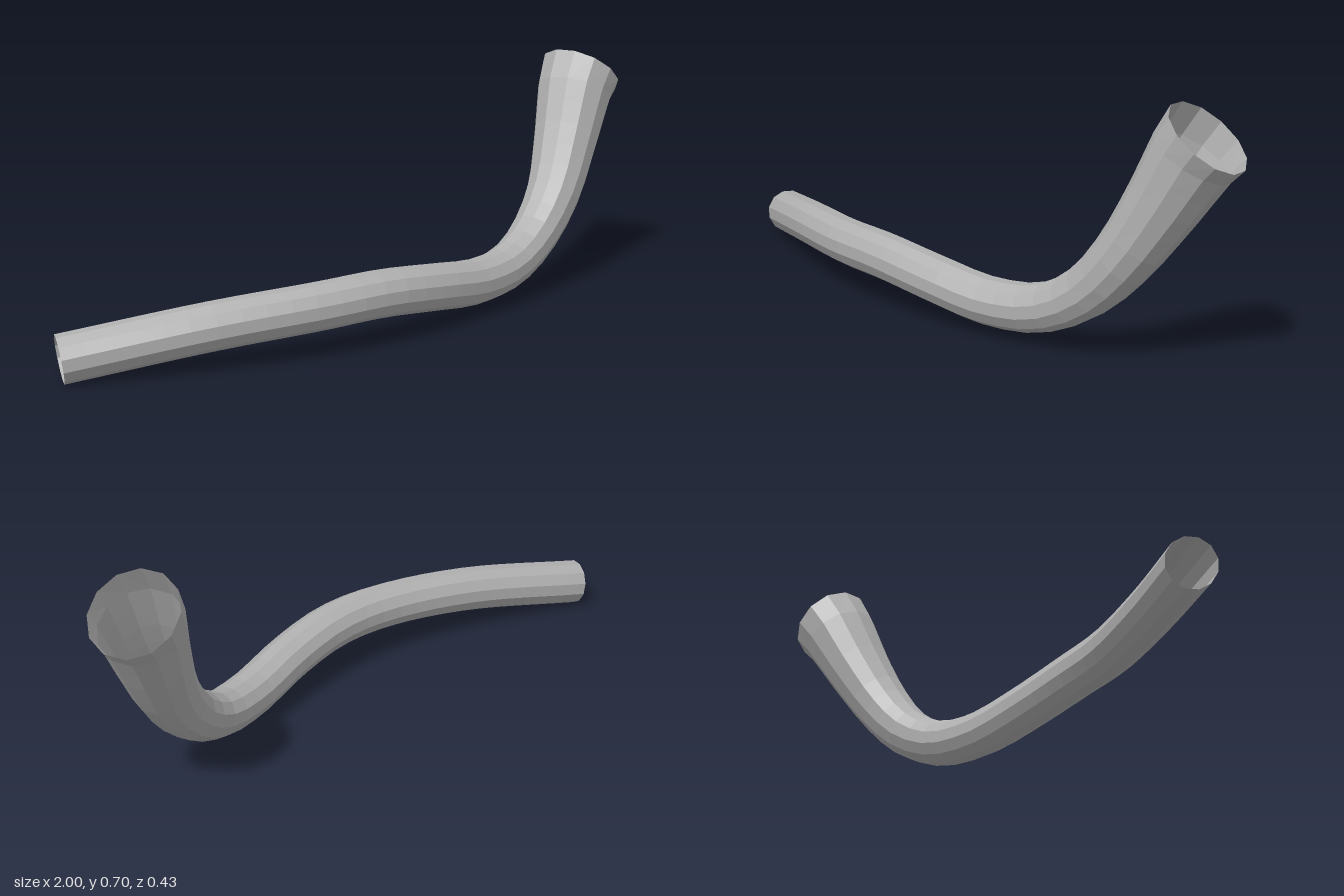
import * as THREE from 'three';

export function createModel() {
  const grey = new THREE.MeshStandardMaterial({ color: 0xb0b0b0, flatShading: true, side: THREE.DoubleSide });
  grey.name = 'grey';

  // centre line from the narrow end to the flared mouth
  const path = new THREE.CatmullRomCurve3([
    [-0.975, 0.07, -0.115], [-0.6, 0.125, 0.042], [-0.3, 0.145, 0.13], [-0.1, 0.147, 0.148],
    [0.1, 0.125, 0.135], [0.3, 0.098, 0.1], [0.47, 0.113, 0.063], [0.6, 0.18, 0.03],
    [0.705, 0.29, 0], [0.795, 0.44, -0.045], [0.88, 0.601, -0.089], [0.902, 0.628, -0.096],
  ].map(p => new THREE.Vector3(...p)));

  // constant bore that widens over the last third
  const radiusAt = u => 0.068 + 0.057 * Math.pow(Math.max(0, (u - 0.68) / 0.32), 1.5);

  // open tube whose rings are resized, with flats rather than corners up
  const rings = 32, sides = 12;
  const geometry = new THREE.TubeGeometry(path, rings, 1, sides, false);
  const frames = path.computeFrenetFrames(rings, false);
  const position = geometry.attributes.position;
  for (let i = 0; i <= rings; i++) {
    const centre = path.getPointAt(i / rings);
    const r = radiusAt(i / rings);
    for (let j = 0; j <= sides; j++) {
      const a = ((j + 0.5) / sides) * Math.PI * 2;
      const v = centre.clone()
        .addScaledVector(frames.normals[i], -Math.cos(a) * r)
        .addScaledVector(frames.binormals[i], Math.sin(a) * r);
      position.setXYZ(i * (sides + 1) + j, v.x, v.y, v.z);
    }
  }
  geometry.computeVertexNormals();

  const pipe = new THREE.Mesh(geometry, grey);
  pipe.name = 'flaredPipe';
  const group = new THREE.Group();
  group.name = 'bentPipe';
  group.add(pipe);
  return group;
}
